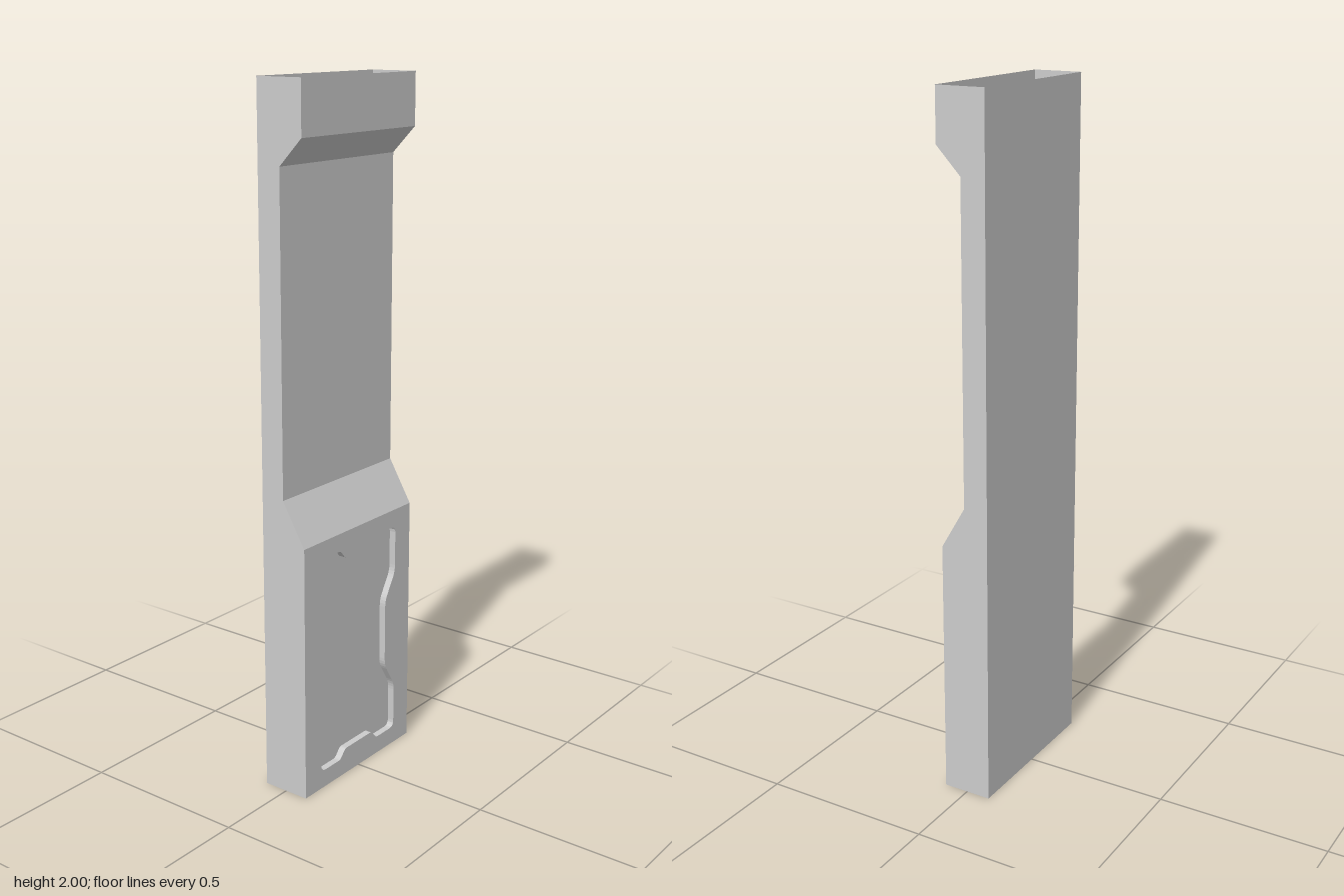
import * as THREE from 'three';

const HALF = 0.25, BACK = -0.0725, FRONT = 0.0725, MID = 0;
const DEPTH = 0.02, RECESS_Y = 0.378;

const material = new THREE.MeshStandardMaterial({ color: 0xcccccc, flatShading: true, side: THREE.DoubleSide });

// Flat-faced strip between two matching paths of [x, y, z] points
function strip(a, b) {
  const pos = [];
  for (let i = 0; i < a.length - 1; i++) {
    pos.push(...a[i], ...b[i], ...b[i + 1], ...a[i], ...b[i + 1], ...a[i + 1]);
  }
  const g = new THREE.BufferGeometry();
  g.setAttribute('position', new THREE.Float32BufferAttribute(pos, 3));
  g.computeVertexNormals();
  return g;
}

// Closed outline through the corners [x, y, radius], each corner rounded
function roundedOutline(corners) {
  const path = new THREE.Path();
  const n = corners.length;
  corners.forEach(([x, y, r], i) => {
    const c = new THREE.Vector2(x, y);
    const towards = ([px, py]) => new THREE.Vector2(px, py).sub(c).setLength(r).add(c);
    const from = towards(corners[(i + n - 1) % n]);
    const to = towards(corners[(i + 1) % n]);
    if (i === 0) path.moveTo(from.x, from.y);
    else path.lineTo(from.x, from.y);
    path.quadraticCurveTo(x, y, to.x, to.y);
  });
  path.closePath();
  return path.getPoints(4);
}

export function createModel() {
  const group = new THREE.Group();
  const add = (name, geometry) => {
    const mesh = new THREE.Mesh(geometry, material);
    mesh.name = name;
    group.add(mesh);
    return mesh;
  };

  // Front profile as [z, y], from the bottom to the top
  const profile = [[FRONT, 0], [FRONT, 0.755], [MID, 0.88], [MID, 1.777], [FRONT, 1.852], [FRONT, 2]];
  const edge = (x, pts) => pts.map(([z, y]) => [x, y, z]);

  // Sleeve, open at top and bottom: stepped front above the recessed panel, flat back
  const upper = profile.slice(1);
  add('steppedFront', strip(edge(-HALF, upper), edge(HALF, upper)));
  const back = [[BACK, 0], [BACK, 2]];
  add('backWall', strip(edge(HALF, back), edge(-HALF, back)));

  // Side walls follow the profile
  for (const s of [-1, 1]) {
    const shape = new THREE.Shape([[BACK, 0], ...profile, [BACK, 2]].map(([z, y]) => new THREE.Vector2(-s * z, y)));
    const wall = add(s > 0 ? 'leftWall' : 'rightWall', new THREE.ShapeGeometry(shape));
    wall.rotation.y = s * Math.PI / 2;
    wall.position.x = s * HALF;
  }

  // Recess outline: one quarter, mirrored to four, counter-clockwise
  const quarter = [[0.13, 0.103, 0.02], [0.178, 0.182, 0.02], [0.178, 0.325, 0.02], [0.088, 0.325, 0.01], [0.065, 0.298, 0.008]];
  const mirror = (sx, sy) => {
    const pts = quarter.map(([x, y, r]) => [sx * x, RECESS_Y + sy * y, r]);
    return sx * sy < 0 ? pts.reverse() : pts;
  };
  const outline = roundedOutline([...mirror(1, 1), ...mirror(-1, 1), ...mirror(-1, -1), ...mirror(1, -1)]);

  // Lower front panel with the recess cut out
  const panel = new THREE.Shape([[-HALF, 0], [HALF, 0], [HALF, 0.755], [-HALF, 0.755]].map(p => new THREE.Vector2(...p)));
  panel.holes.push(new THREE.Path(outline));
  add('lowerFrontPanel', new THREE.ShapeGeometry(panel)).position.z = FRONT;

  // Recess floor and rim
  add('recessFloor', new THREE.ShapeGeometry(new THREE.Shape(outline))).position.z = FRONT - DEPTH;
  const loop = z => outline.map(p => [p.x, p.y, z]);
  add('recessRim', strip(loop(FRONT - DEPTH), loop(FRONT)));

  return group;
}
